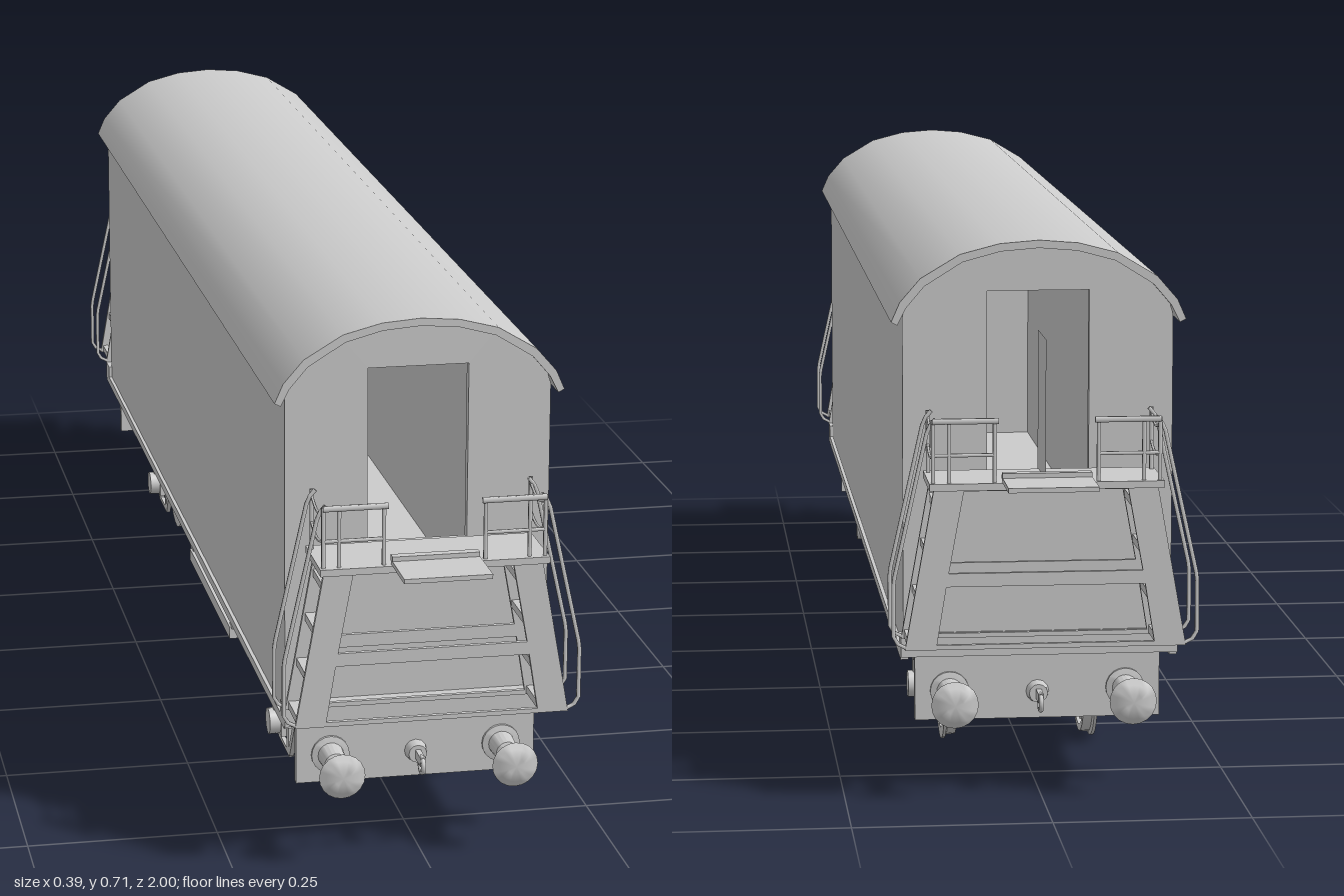
import * as THREE from 'three';
import { toCreasedNormals } from 'three/addons/utils/BufferGeometryUtils.js';

const mat = new THREE.MeshStandardMaterial({ color: 0xcccccc });
const thin = new THREE.MeshStandardMaterial({ color: 0xcccccc, side: THREE.DoubleSide });
const V = (x, y, z) => new THREE.Vector3(x, y, z);

function add(parent, name, geo, x = 0, y = 0, z = 0, material = mat) {
  const m = new THREE.Mesh(geo, material);
  m.name = name;
  m.position.set(x, y, z);
  parent.add(m);
  return m;
}
const box = (p, name, w, h, d, x, y, z) => add(p, name, new THREE.BoxGeometry(w, h, d), x, y, z);

// Straight-segment bent rod through a list of points
function rod(p, name, pts, r = 0.003) {
  const path = new THREE.CurvePath();
  for (let i = 1; i < pts.length; i++) path.add(new THREE.LineCurve3(pts[i - 1], pts[i]));
  return add(p, name, new THREE.TubeGeometry(path, (pts.length - 1) * 6, r, 6), 0, 0, 0, thin);
}
// Rectangular bar between two points
function bar(p, name, a, b, w, h) {
  const m = add(p, name, new THREE.BoxGeometry(w, h, a.distanceTo(b)));
  m.position.copy(a).add(b).multiplyScalar(0.5);
  m.lookAt(b);
  return m;
}
// Polygon extruded and centred in depth
function plate(pts, depth, holes = []) {
  const s = new THREE.Shape(pts.map(q => new THREE.Vector2(...q)));
  for (const h of holes) s.holes.push(new THREE.Path(h.map(q => new THREE.Vector2(...q))));
  return new THREE.ExtrudeGeometry(s, { depth, bevelEnabled: false }).translate(0, 0, -depth / 2);
}
const mirrored = half => [...half, ...half.slice(0, -1).reverse().map(([x, y]) => [-x, y])];

function buildBody(g) {
  const outer = mirrored([[-0.187, 0.605], [-0.176, 0.63], [-0.15, 0.66], [-0.1, 0.69], [-0.05, 0.703], [0, 0.707]]);
  const inner = mirrored([[-0.179, 0.601], [-0.168, 0.623], [-0.145, 0.65], [-0.097, 0.68], [-0.049, 0.693], [0, 0.697]]);
  const roof = plate([...outer, ...inner.slice().reverse()], 1.66);
  add(g, 'roof', toCreasedNormals(roof, 0.7));

  const arch = inner.slice(1, -1);
  const wall = [[-0.172, 0.18], [-0.172, 0.61], ...arch, [0.172, 0.61], [0.172, 0.18]];
  const door = [[-0.065, 0.41], [0.065, 0.41], [0.065, 0.642], [-0.065, 0.642]];
  for (const s of [-1, 1]) {
    add(g, 'endWall', plate(wall, 0.012, [door]), 0, 0, s * 0.812);
    box(g, 'sideWall', 0.01, 0.435, 1.63, s * 0.167, 0.395, 0);
    box(g, 'lowerSideStrip', 0.01, 0.012, 1.68, s * 0.172, 0.18, 0);
    box(g, 'soleBar', 0.014, 0.03, 1.63, s * 0.145, 0.163, 0);
    box(g, 'endSill', 0.354, 0.026, 0.034, 0, 0.191, s * 0.828);
  }
  box(g, 'floor', 0.344, 0.014, 1.66, 0, 0.182, 0);
  // Door leaf standing open at the rear
  add(g, 'doorLeaf', new THREE.PlaneGeometry(0.094, 0.18).rotateY(Math.PI / 2), 0, 0.502, -0.864, thin);
}

// One end, built for +z
function buildEnd() {
  const e = new THREE.Group();
  e.name = 'endAssembly';
  box(e, 'headstock', 0.315, 0.09, 0.012, 0, 0.135, 0.814);
  box(e, 'platform', 0.294, 0.009, 0.1, 0, 0.411, 0.878);
  box(e, 'gangwayPlate', 0.112, 0.006, 0.08, 0, 0.419, 0.96);
  box(e, 'gangwayHinge', 0.112, 0.008, 0.012, 0, 0.424, 0.924);

  // Tapered frames carrying the side ladders, tied by a cross bar
  const frame = [[-0.14, 0.41], [-0.177, 0.203], [0.177, 0.203], [0.14, 0.41]];
  const upperHole = [[-0.103, 0.404], [-0.122, 0.3], [0.122, 0.3], [0.103, 0.404]];
  const lowerHole = [[-0.125, 0.283], [-0.137, 0.209], [0.137, 0.209], [0.125, 0.283]];
  for (const z of [0.846, 0.914])
    add(e, 'ladderFrame', plate(frame, 0.006, [upperHole, lowerHole]), 0, 0, z);

  const bufferProfile = [[0, 0], [0.025, 0], [0.025, 0.006], [0.017, 0.008], [0.015, 0.042], [0.01, 0.044],
    [0.01, 0.076], [0.028, 0.08], [0.03, 0.083], [0.022, 0.088], [0.011, 0.091], [0, 0.092]];
  const bufferGeo = toCreasedNormals(new THREE.LatheGeometry(
    bufferProfile.map(q => new THREE.Vector2(...q)), 20).rotateX(Math.PI / 2), 0.6);
  for (const s of [-1, 1]) {
    add(e, 'buffer', bufferGeo, s * 0.113, 0.128, 0.818);
    // Tapered cheek plate bracing the headstock behind the buffer
    const cheek = plate([[-0.81, 0.098], [-0.7, 0.105], [-0.68, 0.15], [-0.68, 0.18], [-0.81, 0.18]], 0.008);
    add(e, 'headstockCheek', cheek.rotateY(Math.PI / 2), s * 0.113, 0, 0);
    for (const z of [0.846, 0.914])
      rod(e, 'ladderHandrail', [V(s * 0.138, 0.495, z), V(s * 0.148, 0.483, z), V(s * 0.191, 0.29, z),
        V(s * 0.191, 0.22, z), V(s * 0.183, 0.207, z), V(s * 0.155, 0.205, z)], 0.0028);
    for (const y of [0.21, 0.268, 0.328, 0.386])
      box(e, 'ladderTread', 0.034, 0.01, 0.07, s * (0.157 - (y - 0.205) * 0.18), y, 0.88);
    // Platform railing
    for (const [x, z] of [[0.065, 0.92], [0.122, 0.92], [0.142, 0.92], [0.142, 0.842]])
      rod(e, 'railPost', [V(s * x, 0.41, z), V(s * x, 0.495, z)], 0.0028);
    rod(e, 'topRail', [V(s * 0.06, 0.493, 0.922), V(s * 0.143, 0.493, 0.922)], 0.004);
    rod(e, 'middleRail', [V(s * 0.065, 0.45, 0.92), V(s * 0.142, 0.45, 0.92)], 0.0025);
    for (const y of [0.488, 0.452]) {
      const sag = new THREE.QuadraticBezierCurve3(V(s * 0.142, y, 0.92), V(s * 0.142, y - 0.02, 0.88), V(s * 0.142, y, 0.842));
      add(e, 'safetyChain', new THREE.TubeGeometry(sag, 10, 0.002, 5));
    }
  }
  // Coupling
  add(e, 'couplingBoss', new THREE.CylinderGeometry(0.012, 0.015, 0.016, 12).rotateX(Math.PI / 2), 0, 0.125, 0.827);
  box(e, 'couplingHook', 0.007, 0.012, 0.035, 0, 0.125, 0.847);
  add(e, 'couplingLink', new THREE.TorusGeometry(0.01, 0.0035, 6, 14).rotateY(Math.PI / 2), 0, 0.119, 0.858);
  return e;
}

// One wheelset with its axle guards, centred on the axle
function buildWheelset() {
  const w = new THREE.Group();
  w.name = 'wheelset';
  const across = geo => geo.rotateZ(Math.PI / 2);
  add(w, 'axle', across(new THREE.CylinderGeometry(0.014, 0.014, 0.25, 14)));
  const rim = [[0.06, -0.008], [0.069, -0.008], [0.07, 0.004], [0.075, 0.006], [0.075, 0.01], [0.06, 0.01], [0.06, -0.008]];
  for (const s of [-1, 1]) {
    const rimGeo = new THREE.LatheGeometry(rim.map(([r, x]) => new THREE.Vector2(r, -x * s)), 28);
    add(w, 'wheelRim', toCreasedNormals(across(rimGeo), 0.6), s * 0.093, 0, 0, thin);
    add(w, 'wheelHub', across(new THREE.CylinderGeometry(0.02, 0.02, 0.022, 14)), s * 0.093);
    for (let i = 0; i < 9; i++) {
      const spoke = new THREE.BoxGeometry(0.007, 0.046, 0.011).translate(0, 0.041, 0);
      add(w, 'spoke', spoke.rotateX(i * Math.PI * 2 / 9), s * 0.093);
    }
    const x = s * 0.122;
    box(w, 'guardTie', 0.006, 0.006, 0.08, x, -0.036, 0);
    add(w, 'axleBox', across(new THREE.CylinderGeometry(0.018, 0.018, 0.03, 16)), s * 0.132);
    box(w, 'axleBoxBlock', 0.016, 0.034, 0.04, s * 0.124, 0, 0);
    for (const k of [-1, 1]) {
      // Open axle guard: upright horn and slanting stay
      box(w, 'guardHorn', 0.006, 0.125, 0.012, x, 0.025, k * 0.028);
      bar(w, 'guardStay', V(x, -0.034, k * 0.038), V(x, 0.088, k * 0.12), 0.006, 0.011);
      rod(w, 'springHanger', [V(s * 0.133, 0.064, k * 0.1), V(s * 0.14, 0.095, k * 0.09)], 0.004);
      // Brake block and hanger
      box(w, 'brakeBlock', 0.016, 0.04, 0.012, s * 0.093, 0.004, k * 0.083);
      bar(w, 'brakeHanger', V(s * 0.093, 0.02, k * 0.085), V(s * 0.093, 0.1, k * 0.098), 0.007, 0.007);
    }
    // Leaf spring
    for (const [half, y] of [[0.1, 0.05], [0.07, 0.043]]) {
      const tip = y + 1.6 * half * half;
      const arc = new THREE.QuadraticBezierCurve3(V(s * 0.133, tip, -half), V(s * 0.133, y - 0.02, 0), V(s * 0.133, tip, half));
      add(w, 'springLeaf', new THREE.TubeGeometry(arc, 10, 0.004, 4));
    }
    box(w, 'springBuckle', 0.014, 0.03, 0.014, s * 0.133, 0.032, 0);
  }
  return w;
}

// Trussing beneath the middle of the floor
function buildTruss(g) {
  for (const s of [-1, 1]) {
    const x = s * 0.13;
    box(g, 'trussBeam', 0.016, 0.018, 0.37, x, 0.072, 0);
    box(g, 'trussCrossBeam', 0.26, 0.016, 0.018, 0, 0.072, s * 0.172);
    for (const k of [-1, 1]) {
      bar(g, 'trussRod', V(x, 0.078, k * 0.17), V(x, 0.152, k * 0.42), 0.01, 0.009);
      bar(g, 'trussStrut', V(x, 0.08, k * 0.16), V(x, 0.152, k * 0.29), 0.007, 0.006);
      rod(g, 'brakeRod', [V(s * 0.09, 0.08, k * 0.18), V(s * 0.09, 0.085, k * 0.37), V(s * 0.09, 0.12, k * 0.46)], 0.003);
    }
  }
}

export function createModel() {
  const g = new THREE.Group();
  g.name = 'coveredWagon';
  buildBody(g);
  buildTruss(g);
  for (const s of [1, -1]) {
    const end = buildEnd();
    end.rotation.y = s > 0 ? 0 : Math.PI;
    const wheels = buildWheelset();
    wheels.position.set(0, 0.075, s * 0.553);
    g.add(end, wheels);
  }
  return g;
}
